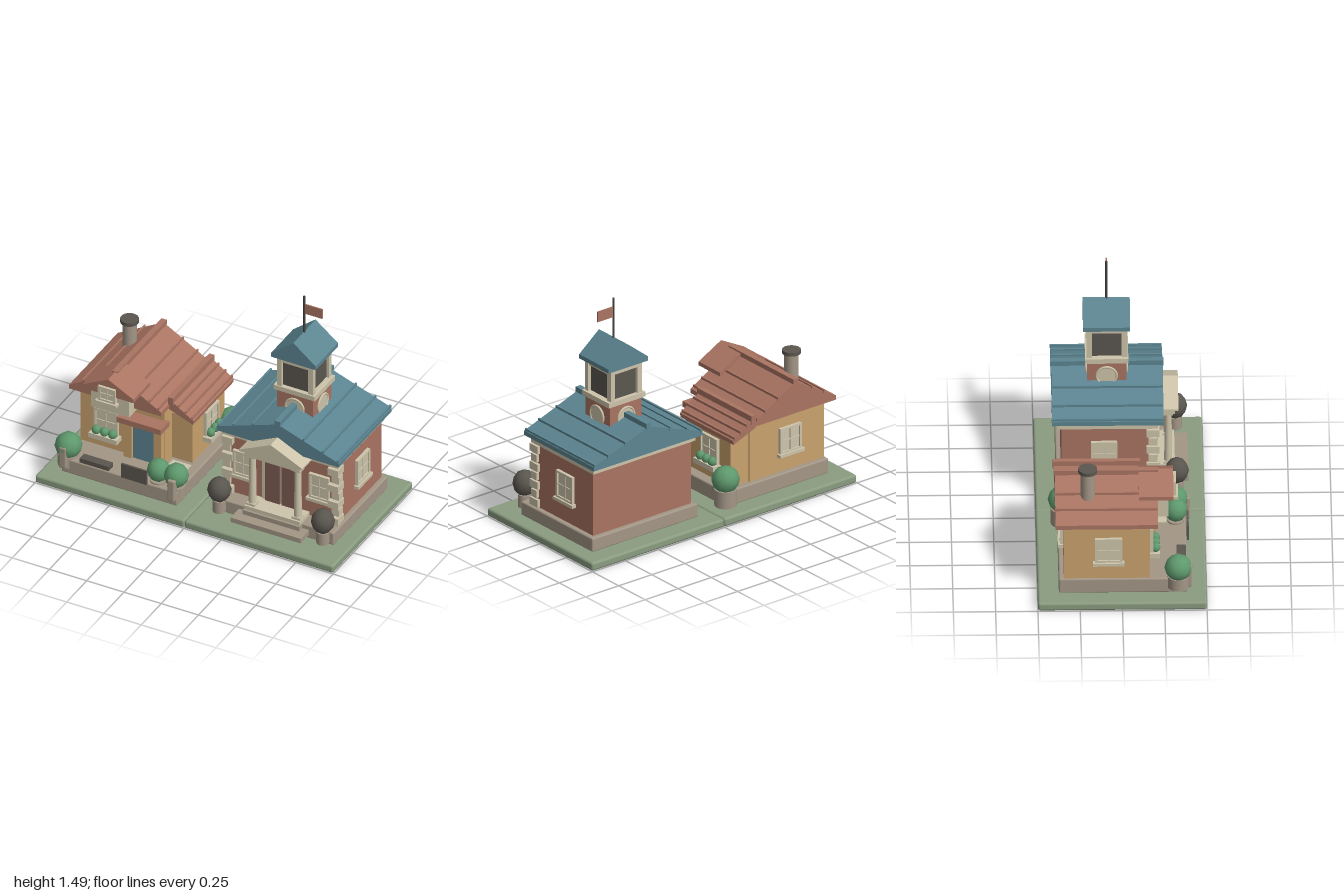
import * as THREE from 'three';
import { RoundedBoxGeometry } from 'three/addons/geometries/RoundedBoxGeometry.js';

const mat = (name, color) => Object.assign(new THREE.MeshStandardMaterial({ color }), { name });
const grass = mat('grass', 0x8a9c80), leaf = mat('leaf', 0x5f9a6e), tan = mat('tan plaster', 0xc9a26d);
const clay = mat('terracotta', 0xaa7462), teal = mat('teal', 0x5c8591), cream = mat('cream', 0xcdc4aa);
const stone = mat('stone', 0xa39686), dark = mat('charcoal', 0x5b5750), brown = mat('door brown', 0x7f5b54);
const iron = mat('iron', 0x44433f);

function add(parent, name, geometry, material, x = 0, y = 0, z = 0) {
  const m = new THREE.Mesh(geometry, material);
  m.name = name;
  m.position.set(x, y, z);
  parent.add(m);
  return m;
}

// Box given by its extents
function box(parent, name, material, x0, x1, y0, y1, z0, z1, r = 0) {
  const s = [x1 - x0, y1 - y0, z1 - z0];
  const g = r ? new RoundedBoxGeometry(...s, 2, r) : new THREE.BoxGeometry(...s);
  return add(parent, name, g, material, (x0 + x1) / 2, (y0 + y1) / 2, (z0 + z1) / 2);
}

// Outline in x,y swept from z0 to z1
function prism(parent, name, material, pts, z0, z1) {
  const shape = new THREE.Shape(pts.map(p => new THREE.Vector2(...p)));
  const g = new THREE.ExtrudeGeometry(shape, { depth: z1 - z0, bevelEnabled: false });
  return add(parent, name, g, material, 0, 0, z0);
}

// Gable roof with a short vertical eave
function gable(parent, name, material, cx, half, y0, eave, top, z0, z1) {
  return prism(parent, name, material,
    [[cx - half, y0], [cx + half, y0], [cx + half, eave], [cx, top], [cx - half, eave]], z0, z1);
}

function cyl(parent, name, material, r0, r1, y0, y1, x, z, n = 24) {
  return add(parent, name, new THREE.CylinderGeometry(r1, r0, y1 - y0, n), material, x, (y0 + y1) / 2, z);
}

// Framed window facing +z before turning; y is the bottom of the frame
function windowUnit(parent, name, w, h, x, y, z, turn = 0, flowers = false) {
  const g = new THREE.Group();
  g.name = name;
  g.position.set(x, y, z);
  g.rotation.y = turn;
  parent.add(g);
  const a = w / 2, t = 0.014;
  box(g, 'pane', cream, -a, a, 0, h, -0.01, 0.006);
  for (const s of [-1, 1]) box(g, 'frameSide', cream, s * (a - t / 2) - t / 2, s * (a - t / 2) + t / 2, 0, h, 0, 0.016);
  box(g, 'frameTop', cream, -a, a, h - t, h, 0, 0.016);
  box(g, 'frameBottom', cream, -a, a, 0, t, 0, 0.016);
  box(g, 'mullion', cream, -0.004, 0.004, 0, h, 0, 0.012);
  box(g, 'transom', cream, -a, a, h / 2 - 0.004, h / 2 + 0.004, 0, 0.012);
  if (flowers) {
    box(g, 'flowerBox', cream, -a - 0.015, a + 0.015, -0.03, 0.002, -0.01, 0.055);
    for (const i of [-1, 0, 1]) bush(g, 'flowerBush', leaf, i * 0.055, 0.022, 0.03, 0.028, 0.03);
  } else box(g, 'sill', cream, -a - 0.013, a + 0.013, -0.018, 0.002, -0.01, 0.028);
}

function bush(parent, name, material, x, y, z, r, ry) {
  const g = new THREE.IcosahedronGeometry(r, 1); // faceted on its own
  add(parent, name, g, material, x, y, z).scale.y = ry / r;
}

function pottedBush(parent, material, x, y, z, r, ry, y0, pr) {
  cyl(parent, 'planter', stone, pr, pr, y0, 0.16, x, z, 16);
  bush(parent, 'bush', material, x, y, z, r, ry);
}

function buildHall() {
  const g = new THREE.Group();
  g.name = 'townHall';
  box(g, 'foundation', stone, 0.1, 0.9, 0.05, 0.14, -0.375, 0.305, 0.01);
  box(g, 'walls', clay, 0.13, 0.87, 0.14, 0.55, -0.345, 0.205);
  box(g, 'cornice', cream, 0.115, 0.885, 0.55, 0.595, -0.365, 0.225);

  // Alternating corner stones on the front
  for (const s of [-1, 1]) for (let i = 0; i < 7; i++) {
    const w = i % 2 ? 0.05 : 0.07, y = 0.145 + i * 0.058, cx = 0.5 + s * (0.39 - w / 2);
    box(g, 'cornerStone', cream, cx - w / 2, cx + w / 2, y, y + 0.048, 0.2 - w * 0.6, i % 2 ? 0.222 : 0.236);
  }

  // Main roof with seams and ridge
  gable(g, 'mainRoof', teal, 0.5, 0.41, 0.59, 0.618, 0.765, -0.4, 0.26);
  for (const s of [-1, 1]) for (const d of [0.17, 0.3, 0.4]) {
    const x = 0.5 + s * d, y = 0.765 - d * 0.359;
    box(g, 'roofSeam', teal, x - 0.006, x + 0.006, y - 0.01, y + 0.012, -0.403, 0.258);
  }
  box(g, 'roofRidge', teal, 0.482, 0.518, 0.755, 0.79, -0.407, 0.265);

  // Windows on the front and both sides
  for (const x of [0.245, 0.755]) windowUnit(g, 'frontWindow', 0.135, 0.17, x, 0.285, 0.21);
  windowUnit(g, 'leftWindow', 0.155, 0.175, 0.875, 0.283, -0.092, Math.PI / 2);
  windowUnit(g, 'rightWindow', 0.155, 0.175, 0.125, 0.283, -0.092, -Math.PI / 2);

  // Double door
  box(g, 'doorFrame', cream, 0.37, 0.63, 0.14, 0.51, 0.2, 0.215);
  for (const s of [-1, 1]) {
    const x = 0.5 + s * 0.055;
    box(g, 'doorLeaf', brown, x - 0.048, x + 0.048, 0.165, 0.49, 0.2, 0.225);
  }

  // Steps and portico
  box(g, 'lowerStep', stone, 0.265, 0.735, 0.078, 0.11, 0.28, 0.41);
  box(g, 'porchFloor', stone, 0.31, 0.69, 0.1, 0.14, 0.2, 0.345);
  box(g, 'upperStep', cream, 0.315, 0.685, 0.14, 0.165, 0.2, 0.33);
  for (const x of [0.348, 0.652]) {
    cyl(g, 'column', cream, 0.024, 0.02, 0.165, 0.53, x, 0.29);
    box(g, 'columnBase', cream, x - 0.028, x + 0.028, 0.16, 0.18, 0.262, 0.318);
    box(g, 'columnCapital', cream, x - 0.028, x + 0.028, 0.508, 0.528, 0.262, 0.318);
  }
  box(g, 'porticoBeam', cream, 0.315, 0.685, 0.522, 0.57, 0.2, 0.33);
  prism(g, 'pediment', cream, [[0.31, 0.565], [0.69, 0.565], [0.5, 0.655]], 0.2, 0.335);
  prism(g, 'pedimentRoof', cream, [[0.288, 0.56], [0.33, 0.56], [0.5, 0.645], [0.67, 0.56], [0.712, 0.56],
    [0.712, 0.57], [0.5, 0.672], [0.288, 0.57]], 0.2, 0.35);

  // Clock tower
  const t = new THREE.Group();
  t.name = 'tower';
  t.position.set(0.5, 0, -0.073);
  g.add(t);
  box(t, 'towerBase', clay, -0.12, 0.12, 0.6, 0.85, -0.116, 0.116);
  for (let i = 0; i < 4; i++) {
    const face = new THREE.Group();
    face.name = 'towerFace';
    face.rotation.y = i * Math.PI / 2;
    t.add(face);
    const z = i % 2 ? 0.12 : 0.116;
    add(face, 'clockDial', new THREE.CylinderGeometry(0.062, 0.062, 0.014, 32), cream, 0, 0.757, z).rotation.x = Math.PI / 2;
    add(face, 'clockRim', new THREE.TorusGeometry(0.06, 0.007, 8, 32), cream, 0, 0.757, z + 0.005);
    box(face, 'belfryPost', cream, 0.088, 0.122, 0.88, 1.09, 0.088, 0.118);
    box(face, 'belfryLintel', cream, -0.1, 0.1, 1.05, 1.09, 0.085, 0.115);
  }
  box(t, 'towerLedge', cream, -0.138, 0.138, 0.85, 0.882, -0.128, 0.128);
  box(t, 'belfryLouvre', dark, -0.1, 0.1, 0.88, 1.07, -0.1, 0.1);
  gable(t, 'towerRoof', teal, 0, 0.15, 1.085, 1.112, 1.232, -0.14, 0.138);
  cyl(t, 'flagpole', iron, 0.007, 0.007, 1.2, 1.485, 0, 0, 12);
  box(t, 'flag', clay, 0.005, 0.122, 1.363, 1.43, -0.004, 0.004);

  for (const x of [0.15, 0.845]) pottedBush(g, dark, x, 0.232, 0.338, 0.072, 0.082, 0.08, 0.04);
  return g;
}

function buildCottage() {
  const g = new THREE.Group();
  g.name = 'cottage';
  box(g, 'foundation', stone, -0.885, -0.11, 0.05, 0.15, -0.375, 0.385, 0.01);
  box(g, 'mainWalls', tan, -0.875, -0.31, 0.14, 0.54, -0.345, 0.165);
  box(g, 'wingWalls', tan, -0.32, -0.175, 0.14, 0.47, -0.335, 0.07);

  // Main roof, with the lower lean-to roof on the wing
  const cx = -0.617;
  gable(g, 'mainRoof', clay, cx, 0.308, 0.527, 0.555, 0.732, -0.395, 0.212);
  box(g, 'roofRidge', clay, cx - 0.018, cx + 0.018, 0.72, 0.752, -0.402, 0.215);
  for (const x of [-0.836, -0.745, -0.488, -0.39, -0.33]) {
    const y = 0.732 - Math.abs(x - cx) * 0.575;
    box(g, 'roofSeam', clay, x - 0.005, x + 0.005, y - 0.01, y + 0.012, -0.399, 0.209);
  }
  prism(g, 'wingRoof', clay, [[-0.318, 0.52], [-0.15, 0.455], [-0.147, 0.482], [-0.29, 0.575], [-0.318, 0.575]], -0.395, 0.108);
  box(g, 'wingRidge', clay, -0.313, -0.281, 0.55, 0.605, -0.402, 0.115);
  for (const x of [-0.25, -0.203, -0.16]) {
    const y = 0.575 - (x + 0.29) * 0.65;
    box(g, 'wingSeam', clay, x - 0.005, x + 0.005, y - 0.01, y + 0.012, -0.399, 0.106);
  }

  // Dormer
  box(g, 'dormerBody', cream, -0.745, -0.49, 0.497, 0.65, 0.1, 0.275);
  gable(g, 'dormerRoof', clay, cx + 0.003, 0.17, 0.635, 0.66, 0.75, 0.1, 0.305);
  windowUnit(g, 'dormerWindow', 0.115, 0.1, cx, 0.595, 0.306);

  // Chimney
  cyl(g, 'chimney', stone, 0.043, 0.043, 0.58, 0.822, -0.742, -0.202);
  cyl(g, 'chimneyCap', dark, 0.056, 0.056, 0.815, 0.838, -0.742, -0.202);

  // Door under its canopy
  box(g, 'door', teal, -0.51, -0.375, 0.15, 0.44, 0.16, 0.185);
  for (const x of [-0.54, -0.34]) box(g, 'doorPost', tan, x - 0.026, x + 0.026, 0.15, 0.44, 0.16, 0.2);
  box(g, 'doorCanopy', clay, -0.58, -0.285, 0.428, 0.465, 0.15, 0.26);

  // Windows
  windowUnit(g, 'frontWindow', 0.16, 0.165, -0.695, 0.26, 0.17, 0, true);
  windowUnit(g, 'wingWindow', 0.16, 0.165, -0.17, 0.26, -0.15, Math.PI / 2, true);
  windowUnit(g, 'backWindow', 0.16, 0.165, -0.61, 0.27, -0.35, Math.PI);
  windowUnit(g, 'rightWindow', 0.16, 0.165, -0.88, 0.27, -0.08, -Math.PI / 2);

  // Yard
  box(g, 'path', cream, -0.29, -0.165, 0.145, 0.156, 0.1, 0.27);
  box(g, 'bench', dark, -0.765, -0.57, 0.15, 0.18, 0.325, 0.38);
  box(g, 'gate', dark, -0.475, -0.305, 0.15, 0.248, 0.388, 0.4);
  for (const x of [-0.865, -0.138]) box(g, 'gatePost', stone, x - 0.024, x + 0.024, 0.09, 0.24, 0.37, 0.412, 0.01);
  pottedBush(g, leaf, -0.865, 0.215, 0.332, 0.083, 0.083, 0.085, 0.065);
  pottedBush(g, leaf, -0.265, 0.228, 0.325, 0.07, 0.075, 0.085, 0.05);
  pottedBush(g, leaf, -0.145, 0.228, 0.325, 0.075, 0.078, 0.085, 0.055);
  pottedBush(g, leaf, -0.13, 0.22, -0.345, 0.085, 0.085, 0.05, 0.068);
  return g;
}

export function createModel() {
  const model = new THREE.Group();
  model.name = 'villagePair';
  for (const s of [-1, 1]) box(model, 'lawn', grass, s * 0.5 - 0.498, s * 0.5 + 0.498, 0, 0.054, -0.498, 0.498, 0.015)
    .scale.set(1.004, 1, 1.004);
  model.add(buildCottage(), buildHall());
  return model;
}
